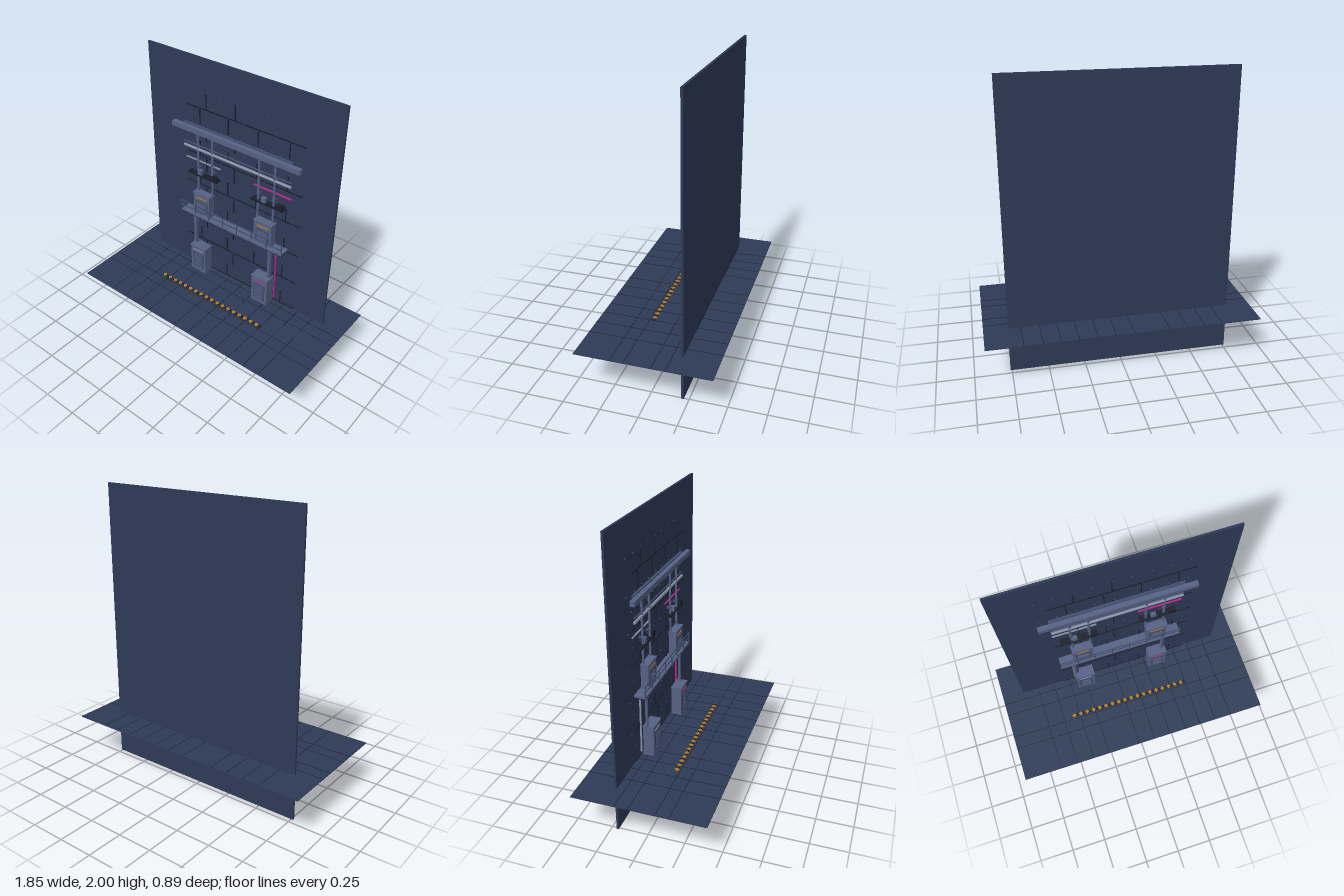
import * as THREE from 'three';

const mat = (name, color) => {
  const m = new THREE.MeshStandardMaterial({ color });
  m.name = name;
  return m;
};

export function createModel() {
  const model = new THREE.Group();
  model.name = 'serverWall';
  const navy = mat('navy panel', 0x2e3b57);
  const steel = mat('steel blue', 0x566285);
  const slate = mat('slate', 0x404d6c);
  const pale = mat('pale metal', 0x858da3);
  const dark = mat('near black', 0x1a1f2b);
  const pink = mat('magenta light', 0xc4238c);
  const amber = mat('amber', 0xb57a1c);

  const group = (name, parent = model) => {
    const g = new THREE.Group();
    g.name = name;
    parent.add(g);
    return g;
  };
  // Box given by its limits on each axis
  const box = (name, m, [x0, x1], [y0, y1], [z0, z1], parent = model) => {
    const mesh = new THREE.Mesh(new THREE.BoxGeometry(x1 - x0, y1 - y0, z1 - z0), m);
    mesh.position.set((x0 + x1) / 2, (y0 + y1) / 2, (z0 + z1) / 2);
    mesh.name = name;
    parent.add(mesh);
    return mesh;
  };
  // Straight pipe between two points
  const pipe = (name, m, a, b, r, parent = model) => {
    const p = new THREE.Vector3(...a), q = new THREE.Vector3(...b);
    const mesh = new THREE.Mesh(new THREE.CylinderGeometry(r, r, p.distanceTo(q), 10), m);
    mesh.position.copy(p).add(q).multiplyScalar(0.5);
    mesh.quaternion.setFromUnitVectors(new THREE.Vector3(0, 1, 0), q.sub(p).normalize());
    mesh.name = name;
    parent.add(mesh);
  };

  // Back wall and floor sheet
  box('wall', navy, [-0.763, 0.76], [0, 2], [-0.216, -0.201]);
  box('floor', navy, [-0.923, 0.923], [0.316, 0.322], [-0.447, 0.447]);

  // Brick seams and rivets on the wall
  const bricks = group('brickSeams');
  const rowY = (i) => 0.323 + i * 0.1202;
  for (const i of [0, 2, 4, 6, 8, 10, 11]) {
    if (i === 10) continue;
    box('rowSeam', dark, [-0.44, 0.515], [rowY(i) - 0.003, rowY(i) + 0.004], [-0.202, -0.195], bricks);
  }
  for (let i = 0; i < 12; i++) {
    const columns = i % 2 ? [-0.268, -0.027] : [-0.322, -0.082, 0.158, 0.4];
    for (const x of columns) {
      box('brickSeam', dark, [x - 0.003, x + 0.003], [rowY(i), rowY(i + 1)], [-0.202, -0.195], bricks);
    }
    for (let k = 0; k < 5; k++) {
      const x = -0.5 + k * 0.241 + (i % 2 ? 0 : 0.066);
      for (const dx of [0, 0.115]) {
        if (x + dx > 0.5) continue;
        box('rivet', slate, [x + dx - 0.003, x + dx + 0.003],
          [rowY(i + 1) - 0.003, rowY(i + 1) + 0.003], [-0.202, -0.194], bricks);
      }
    }
  }

  // Floor tile seams
  const tiles = group('floorSeams');
  for (const x of [-0.648, -0.525, -0.403, -0.283, -0.047, 0.076, 0.195, 0.318, 0.436, 0.554, 0.677]) {
    box('tileSeam', dark, [x - 0.0018, x + 0.0018], [0.321, 0.3235], [-0.447, 0.447], tiles);
  }
  for (const z of [-0.15, -0.06, 0.117, 0.206]) {
    box('tileSeam', dark, [-0.923, 0.923], [0.321, 0.3235], [z - 0.0018, z + 0.0018], tiles);
  }

  // Warning strip with a row of diamonds
  const warning = group('warningStrip');
  box('strip', dark, [-0.44, 0.44], [0.321, 0.325], [0.082, 0.103], warning);
  for (let i = 0; i < 18; i++) {
    const x = -0.445 + i * 0.05;
    box('diamond', amber, [x - 0.012, x + 0.012], [0.322, 0.328], [0.08, 0.104], warning).rotation.y = Math.PI / 4;
  }

  // Overhead beam and horizontal conduits
  box('beam', steel, [-0.52, 0.517], [1.478, 1.513], [-0.17, -0.138]);
  box('beamBracket', slate, [-0.445, 0.44], [1.5, 1.52], [-0.19, -0.17]);
  pipe('mainConduit', pale, [-0.445, 1.34, -0.176], [0.44, 1.34, -0.176], 0.01);
  pipe('thinConduit', slate, [-0.445, 1.37, -0.178], [0.44, 1.37, -0.178], 0.005);

  // Vertical feed pipes
  for (const x of [-0.325, -0.2, 0.19, 0.315]) {
    pipe('feedPipe', steel, [x, 1, -0.176], [x, 1.485, -0.176], 0.008);
    for (const y of [1.19, 1.34]) {
      box('pipeClamp', slate, [x - 0.01, x + 0.01], [y - 0.006, y + 0.006], [-0.2, -0.176]);
    }
  }

  // Light strips on the wall
  box('paleStrip', pale, [-0.445, -0.145], [1.232, 1.239], [-0.2, -0.19]);
  box('pinkStrip', pink, [0.14, 0.44], [1.232, 1.239], [-0.2, -0.19]);

  // Small shelves carrying devices
  for (const x of [-0.405, 0.14]) {
    const shelf = group('shelf');
    box('board', dark, [x, x + 0.257], [1.136, 1.147], [-0.2, -0.155], shelf);
    box('paleDevice', steel, [x + 0.083, x + 0.118], [1.147, 1.183], [-0.185, -0.16], shelf);
    box('darkDevice', dark, [x + 0.21, x + 0.254], [1.147, 1.178], [-0.185, -0.155], shelf);
  }

  // Cabinet with cap, indicator strip and slatted vent
  const cabinet = (name, [x0, x1], [y0, y1], [z0, z1], light) => {
    const g = group(name);
    box('body', steel, [x0, x1], [y0, y1], [z0, z1], g);
    box('cap', steel, [x0 - 0.004, x1 + 0.004], [y1 - 0.008, y1 + 0.002], [z0, z1 + 0.004], g);
    box('indicator', light, [x0 + 0.025, x1 - 0.025], [y1 - 0.038, y1 - 0.03], [z1, z1 + 0.004], g);
    const v0 = y0 + 0.025, v1 = y1 - 0.058;
    box('ventPanel', slate, [x0 + 0.017, x1 - 0.017], [v0, v1], [z1, z1 + 0.003], g);
    for (let i = 0; i < 6; i++) {
      const y = v0 + 0.012 + (v1 - v0 - 0.035) * i / 5;
      box('slat', steel, [x0 + 0.03, x1 - 0.03], [y, y + 0.006], [z1, z1 + 0.006], g);
    }
  };
  cabinet('upperCabinet', [-0.34, -0.198], [0.825, 1.005], [-0.19, -0.136], amber);
  cabinet('upperCabinet', [0.192, 0.334], [0.825, 1.005], [-0.19, -0.136], amber);
  cabinet('lowerCabinet', [-0.35, -0.218], [0.322, 0.547], [-0.182, -0.106], pale);
  cabinet('lowerCabinet', [0.212, 0.342], [0.322, 0.547], [-0.182, -0.106], pink);

  // Walkway ledge with railing
  const ledge = group('ledge');
  box('deck', steel, [-0.44, 0.435], [0.813, 0.828], [-0.2, -0.118], ledge);
  box('deckEdge', dark, [-0.44, 0.435], [0.806, 0.815], [-0.198, -0.122], ledge);
  for (const y of [0.862, 0.9]) {
    box('rail', slate, [-0.445, 0.437], [y - 0.003, y + 0.003], [-0.124, -0.118], ledge);
  }
  for (let i = 0; i < 8; i++) {
    const x = -0.44 + i * 0.1247;
    box('railPost', slate, [x - 0.003, x + 0.003], [0.825, 0.903], [-0.124, -0.118], ledge);
  }

  // Columns between cabinets, with cables beside them
  for (const s of [-1, 1]) {
    const x = s < 0 ? -0.338 : 0.323;
    pipe('column', steel, [x - 0.007, 0.54, -0.154], [x - 0.007, 0.815, -0.154], 0.01);
    pipe('column', slate, [x + 0.009, 0.54, -0.158], [x + 0.009, 0.815, -0.158], 0.009);
    const c = s < 0 ? -0.355 : 0.348;
    box(s < 0 ? 'paleCable' : 'pinkCable', s < 0 ? pale : pink,
      [c - 0.003, c + 0.003], [0.345, 0.795], [-0.2, -0.188]);
  }
  return model;
}
